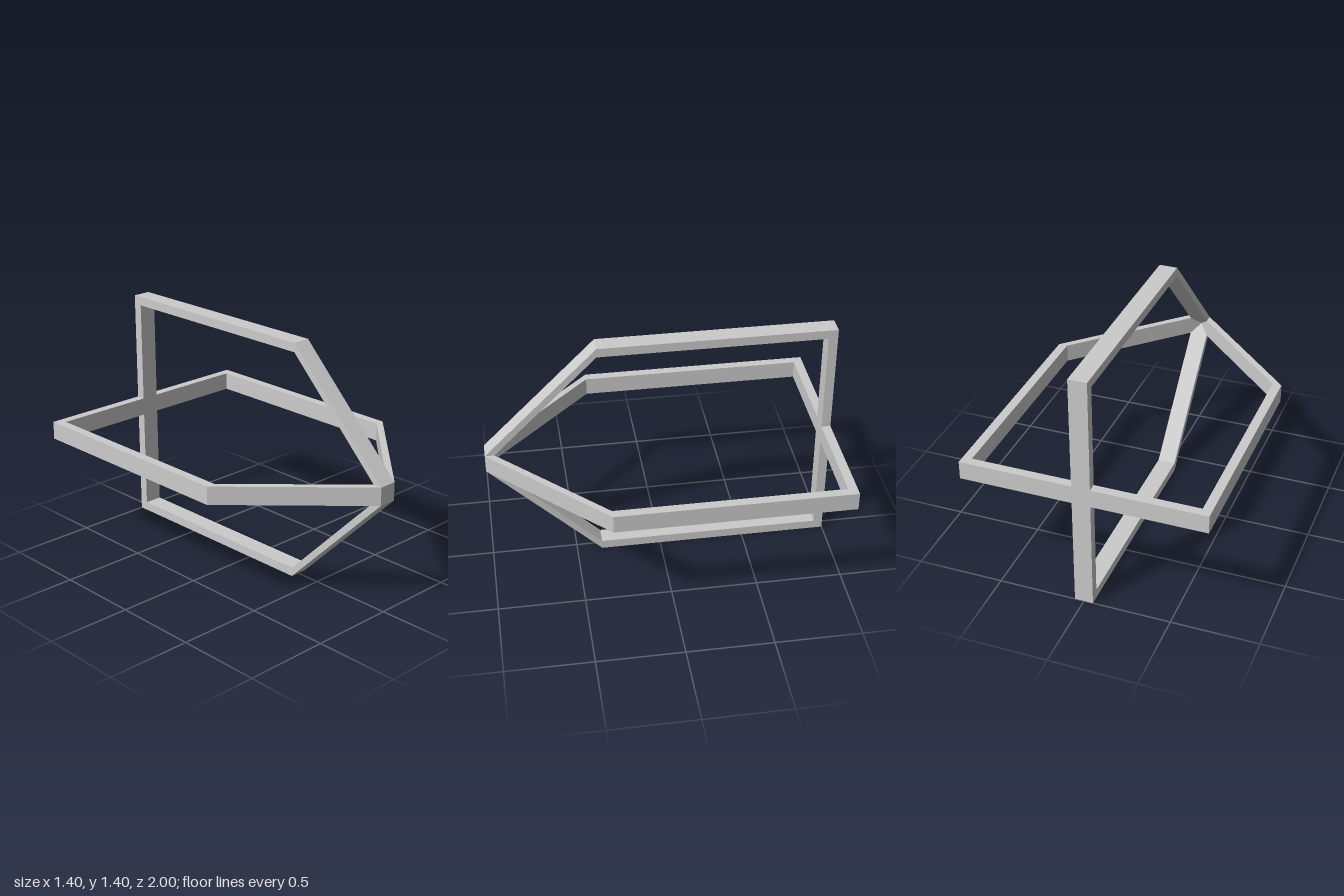
import * as THREE from 'three';

const HALF = 0.702;   // half width of each frame
const BAR = 0.053;    // rail thickness and half depth of the frames
const SHOULDER = 0.351; // z where the rails bend toward the nose

// Flat pointed frame lying in the xz plane, nose toward +z
function frameGeometry() {
  const shape = new THREE.Shape([
    [-HALF, -1], [HALF, -1], [HALF, SHOULDER], [BAR, 1], [-BAR, 1], [-HALF, SHOULDER],
  ].map(([x, z]) => new THREE.Vector2(x, z)));
  const inner = HALF - BAR;
  shape.holes.push(new THREE.Path([
    [-inner, -1 + BAR], [-inner, SHOULDER], [0, 0.998], [inner, SHOULDER], [inner, -1 + BAR],
  ].map(([x, z]) => new THREE.Vector2(x, z))));
  const geometry = new THREE.ExtrudeGeometry(shape, { depth: 2 * BAR, bevelEnabled: false });
  geometry.translate(0, 0, -BAR);
  geometry.rotateX(Math.PI / 2);
  return geometry;
}

export function createModel() {
  const model = new THREE.Group();
  model.name = 'crossedFrames';
  const material = new THREE.MeshStandardMaterial({ color: 0xcccccc, flatShading: true });
  const geometry = frameGeometry();

  // Two identical frames crossing at right angles along the z axis
  for (const [name, roll] of [['horizontalFrame', 0], ['verticalFrame', Math.PI / 2]]) {
    const frame = new THREE.Mesh(geometry, material);
    frame.name = name;
    frame.rotation.z = roll;
    frame.position.y = HALF;
    model.add(frame);
  }
  return model;
}
